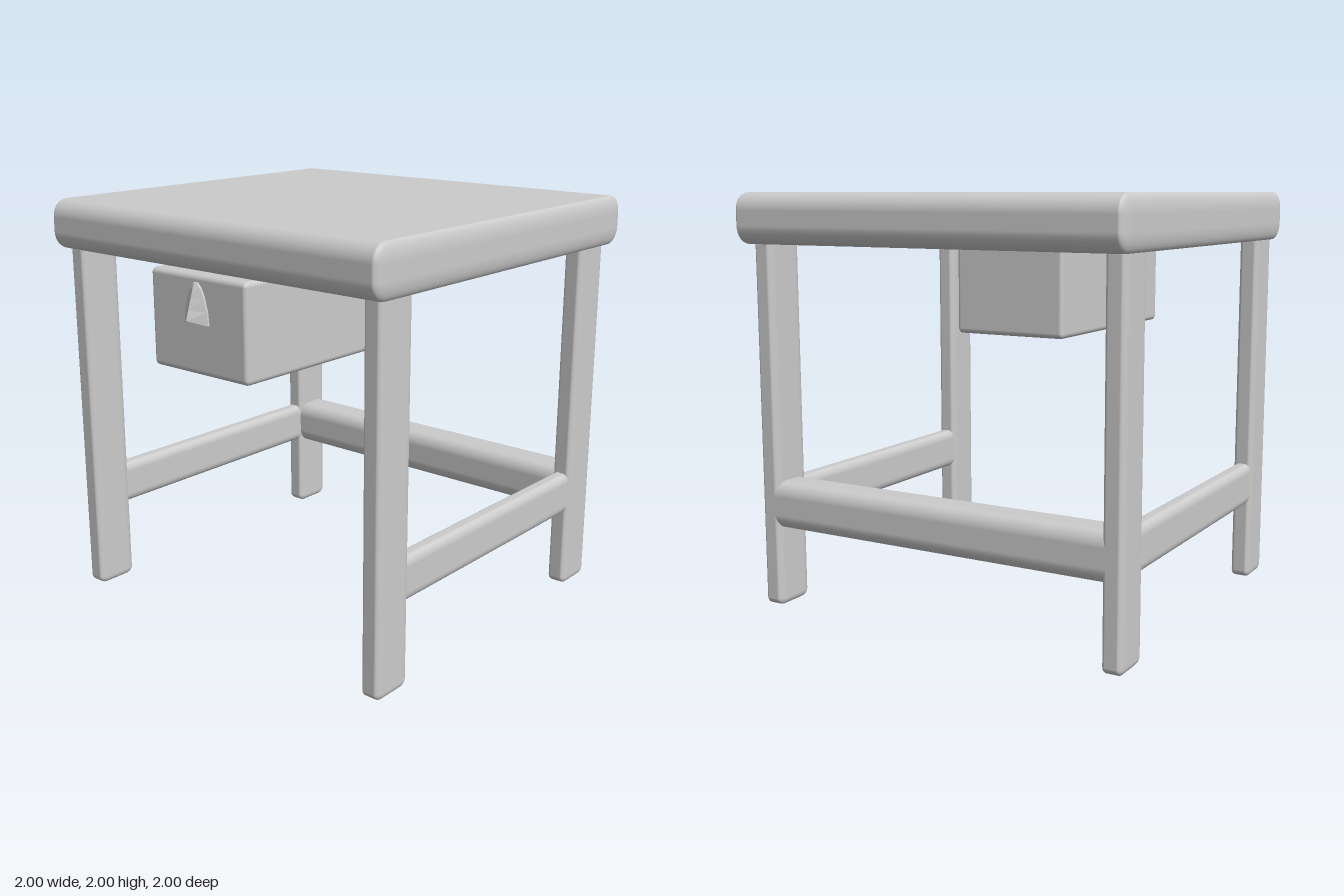
import * as THREE from 'three';
import { RoundedBoxGeometry } from 'three/addons/geometries/RoundedBoxGeometry.js';

const material = new THREE.MeshStandardMaterial({ color: 0xcccccc });

// Box given by its min/max per axis, with a separate edge rounding per axis
function softBox(name, [x0, x1], [y0, y1], [z0, z1], [rx, ry, rz]) {
  const geometry = new RoundedBoxGeometry((x1 - x0) / rx, (y1 - y0) / ry, (z1 - z0) / rz, 4, 1);
  geometry.scale(rx, ry, rz);
  const mesh = new THREE.Mesh(geometry, material);
  mesh.name = name;
  mesh.position.set((x0 + x1) / 2, (y0 + y1) / 2, (z0 + z1) / 2);
  return mesh;
}

// Arched pull: three-point cross-sections with a ridge running out to a tip
function drawerPull() {
  // [height of edges, half width, height of ridge, depth of ridge]
  const sections = [
    [1.54, 0.073, 1.565, 1.0],
    [1.6, 0.066, 1.61, 0.985],
    [1.66, 0.05, 1.66, 0.969],
    [1.7, 0.032, 1.7, 0.956],
    [1.725, 0.01, 1.722, 0.947],
  ];
  const back = 0.925;
  const rim = 0.94;
  const positions = [];
  const index = [];
  for (const [y, w, ridgeY, ridgeZ] of sections) {
    positions.push(-w, y, back, -w, y, rim, 0, ridgeY, ridgeZ, w, y, rim, w, y, back);
  }
  for (let i = 0; i < sections.length - 1; i++) {
    for (let j = 0; j < 4; j++) {
      const a = i * 5 + j;
      index.push(a, a + 1, a + 6, a, a + 6, a + 5);
    }
  }
  // Underside and top caps
  const top = (sections.length - 1) * 5;
  for (let j = 1; j < 4; j++) {
    index.push(0, j + 1, j);
    index.push(top, top + j, top + j + 1);
  }
  let geometry = new THREE.BufferGeometry();
  geometry.setAttribute('position', new THREE.Float32BufferAttribute(positions, 3));
  geometry.setIndex(index);
  geometry = geometry.toNonIndexed();
  geometry.computeVertexNormals();
  const mesh = new THREE.Mesh(geometry, material);
  mesh.name = 'drawerPull';
  return mesh;
}

export function createModel() {
  const table = new THREE.Group();
  table.name = 'sideTable';

  table.add(softBox('tableTop', [-1, 1], [1.76, 2], [-1, 0.935], [0.03, 0.085, 0.08]));

  // Legs and side rails, mirrored left and right
  for (const [side, x] of [['left', 0.91], ['right', -0.92]]) {
    const legX = [x - 0.049, x + 0.049];
    table.add(softBox(`${side}FrontLeg`, legX, [0, 1.79], [0.64, 0.855], [0.022, 0.035, 0.045]));
    table.add(softBox(`${side}BackLeg`, legX, [0, 1.79], [-0.912, -0.695], [0.022, 0.035, 0.045]));
    table.add(softBox(`${side}Rail`, [x - 0.045, x + 0.043], [0.4, 0.61], [-0.72, 0.665], [0.03, 0.045, 0.025]));
  }

  table.add(softBox('backRail', [-0.925, 0.915], [0.39, 0.62], [-0.912, -0.705], [0.03, 0.07, 0.06]));

  // Drawer hung under the top
  table.add(softBox('drawer', [-0.298, 0.294], [1.305, 1.758], [-0.182, 0.93], [0.02, 0.025, 0.025]));
  table.add(drawerPull());

  return table;
}
